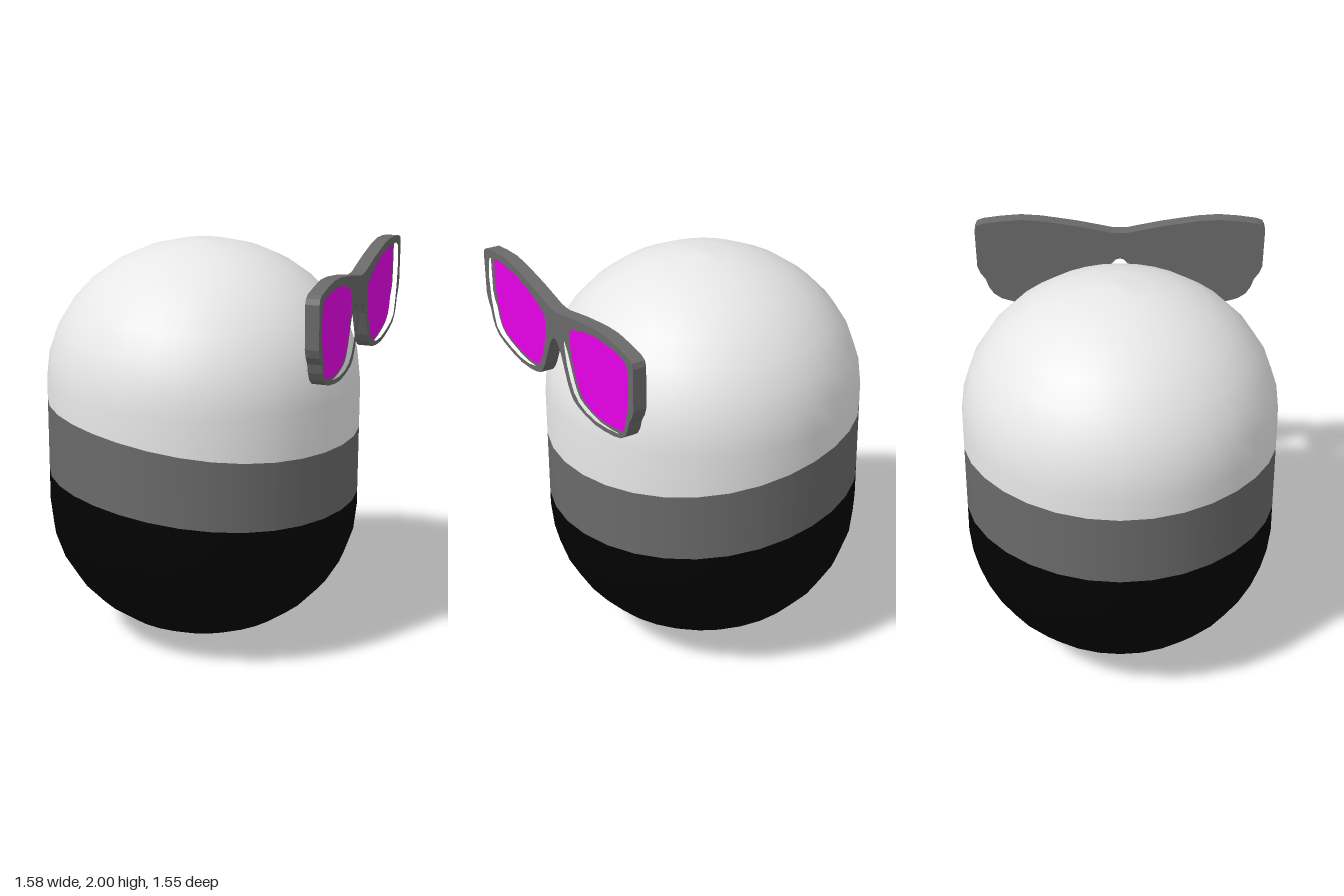
import * as THREE from 'three';

const R = 0.775, CX = -0.015, LOW = 0.9, HIGH = 1.1;

const mat = (name, color, side = THREE.FrontSide) => {
  const m = new THREE.MeshStandardMaterial({ color, side });
  m.name = name;
  return m;
};

// Heights of the two slanting colour borders, u = x / R
const lowerBorder = (u) => 0.81 - 0.08 * u - 0.011 * u * u + 0.032 * u ** 3;
const upperBorder = (u) => 1.161 - 0.101 * u - 0.014 * u * u + 0.038 * u ** 3;

// Lathe section whose border rings (at LOW and HIGH) are moved onto the slanting borders
function bodySection(name, profile, material) {
  const geo = new THREE.LatheGeometry(profile.map(([r, y]) => new THREE.Vector2(r, y)), 32);
  const p = geo.attributes.position;
  for (let i = 0; i < p.count; i++) {
    const y = p.getY(i), u = p.getX(i) / R;
    if (Math.abs(y - LOW) < 1e-4) p.setY(i, lowerBorder(u));
    if (Math.abs(y - HIGH) < 1e-4) p.setY(i, upperBorder(u));
  }
  const mesh = new THREE.Mesh(geo, material);
  mesh.name = name;
  mesh.position.x = CX;
  return mesh;
}

// Slightly squashed quarter circle from the equator to the pole
function domeProfile(y0, height) {
  return Array.from({ length: 9 }, (_, k) => {
    const a = (k / 8) * Math.PI / 2;
    return [k === 8 ? 0 : R * Math.cos(a), y0 + height * Math.sin(a)];
  });
}

const vec = (pts) => pts.map(([x, y]) => new THREE.Vector2(x, y));
const mirror = (pts) => pts.map(([x, y]) => [-x, y]).reverse();

// Right half of the spectacle outline, from top centre round to bottom centre
const FRAME = [[0, 1.89], [0.04, 1.892], [0.1, 1.905], [0.21, 1.928], [0.314, 1.945], [0.4, 1.958],
  [0.5, 1.965], [0.6, 1.957], [0.697, 1.943], [0.725, 1.93], [0.735, 1.905], [0.73, 1.7],
  [0.715, 1.66], [0.69, 1.625], [0.675, 1.58], [0.65, 1.54], [0.61, 1.512], [0.555, 1.495],
  [0.46, 1.477], [0.37, 1.468], [0.28, 1.474], [0.207, 1.487], [0.165, 1.502], [0.14, 1.527],
  [0.115, 1.565], [0.085, 1.63], [0.06, 1.685], [0.04, 1.718], [0.02, 1.74], [0, 1.745]];
const LENS = [[0.092, 1.805], [0.105, 1.83], [0.18, 1.865], [0.27, 1.895], [0.36, 1.915], [0.46, 1.925],
  [0.56, 1.925], [0.64, 1.917], [0.672, 1.9], [0.684, 1.87], [0.69, 1.79], [0.677, 1.69],
  [0.655, 1.61], [0.63, 1.55], [0.58, 1.523], [0.48, 1.502], [0.38, 1.49], [0.29, 1.494],
  [0.22, 1.512], [0.175, 1.545], [0.145, 1.59], [0.115, 1.66], [0.095, 1.74]];

// Solid slab of a flat shape, turned to face +x and starting at the given x
function slab(name, shape, x, depth, material) {
  const geo = new THREE.ExtrudeGeometry(shape, { depth, bevelEnabled: false });
  geo.rotateY(Math.PI / 2);
  const mesh = new THREE.Mesh(geo, material);
  mesh.name = name;
  mesh.position.x = x;
  return mesh;
}

export function createModel() {
  const white = mat('white', 0xf4f4f4);
  const grey = mat('grey', 0x6a6a6a);
  const black = mat('black', 0x020202);
  const magenta = mat('magenta', 0xf200f2);

  const model = new THREE.Group();
  model.name = 'capsuleWithGlasses';

  // Capsule body in three colours
  const body = new THREE.Group();
  body.name = 'body';
  const top = domeProfile(1.32, 0.68);
  const bottom = domeProfile(0.68, -0.68).reverse();
  body.add(
    bodySection('lowerBody', [...bottom, [R, LOW]], black),
    bodySection('waistBand', [[R, LOW], [R, HIGH]], grey),
    bodySection('upperBody', [[R, HIGH], ...top], white),
  );
  model.add(body);

  // Glasses: closed back, rim with two openings, recessed lenses
  const glasses = new THREE.Group();
  glasses.name = 'glasses';
  const outline = [...FRAME, ...mirror(FRAME.slice(1, -1))];
  const rim = new THREE.Shape(vec(outline));
  const lenses = [LENS, mirror(LENS)];
  rim.holes = lenses.map((pts) => new THREE.Path(vec(pts)));
  glasses.add(
    slab('glassesBack', new THREE.Shape(vec(outline)), 0.72, 0.03, grey),
    slab('glassesRim', rim, 0.75, 0.035, grey),
  );
  lenses.forEach((pts, i) => {
    glasses.add(slab(i ? 'leftLens' : 'rightLens', new THREE.Shape(vec(pts)), 0.75, 0.006, magenta));
  });
  model.add(glasses);
  return model;
}
